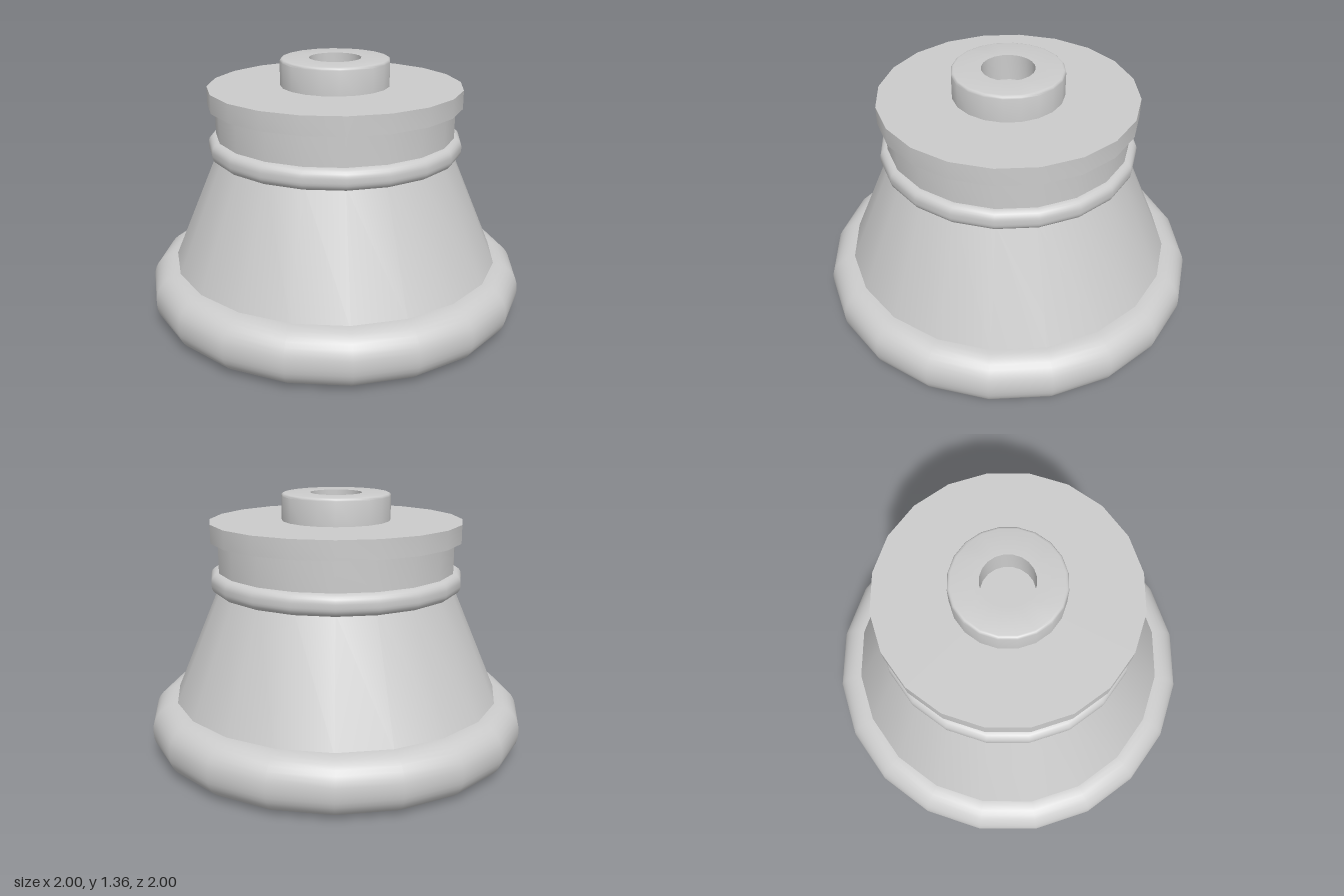
import * as THREE from 'three';
import { toCreasedNormals } from 'three/addons/utils/BufferGeometryUtils.js';

const SIDES = 20;

// Quarter arc in the profile plane, angles in degrees
function arc(cx, cy, r, from, to, steps) {
  const pts = [];
  for (let i = 0; i <= steps; i++) {
    const a = THREE.MathUtils.degToRad(from + (to - from) * i / steps);
    pts.push([cx + r * Math.cos(a), cy + r * Math.sin(a)]);
  }
  return pts;
}

// Closed rim with rounded lower and upper edges
function roundedRim(radius, y0, y1, r, steps) {
  return [
    [0, y0],
    ...arc(radius - r, y0 + r, r, -90, 0, steps),
    ...arc(radius - r, y1 - r, r, 0, 90, steps),
    [0, y1],
  ];
}

export function createModel() {
  const group = new THREE.Group();
  const material = new THREE.MeshStandardMaterial({ color: 0xcccccc });

  function turned(name, profile) {
    const points = profile.map(([x, y]) => new THREE.Vector2(x, y));
    const geometry = toCreasedNormals(new THREE.LatheGeometry(points, SIDES), 0.6);
    const mesh = new THREE.Mesh(geometry, material);
    mesh.name = name;
    group.add(mesh);
  }

  // Wide rounded foot
  turned('baseRim', roundedRim(1, 0, 0.29, 0.135, 8));

  // Tapered body
  turned('body', [[0, 0.27], [0.875, 0.27], [0.62, 0.87], [0, 0.87]]);

  // Bead around the shoulder
  turned('bead', roundedRim(0.665, 0.855, 0.965, 0.045, 6));

  // Straight neck and overhanging flange
  turned('neck', [[0, 0.95], [0.625, 0.95], [0.625, 1.13], [0, 1.13]]);
  turned('flange', [[0, 1.12], [0.662, 1.12], [0.662, 1.215], [0, 1.215]]);

  // Boss with softened edge and a blind hole
  turned('boss', [
    [0.285, 1.2], ...arc(0.27, 1.34, 0.015, 0, 90, 3),
    [0.135, 1.355], [0.135, 1.217], [0, 1.217],
  ]);

  return group;
}
